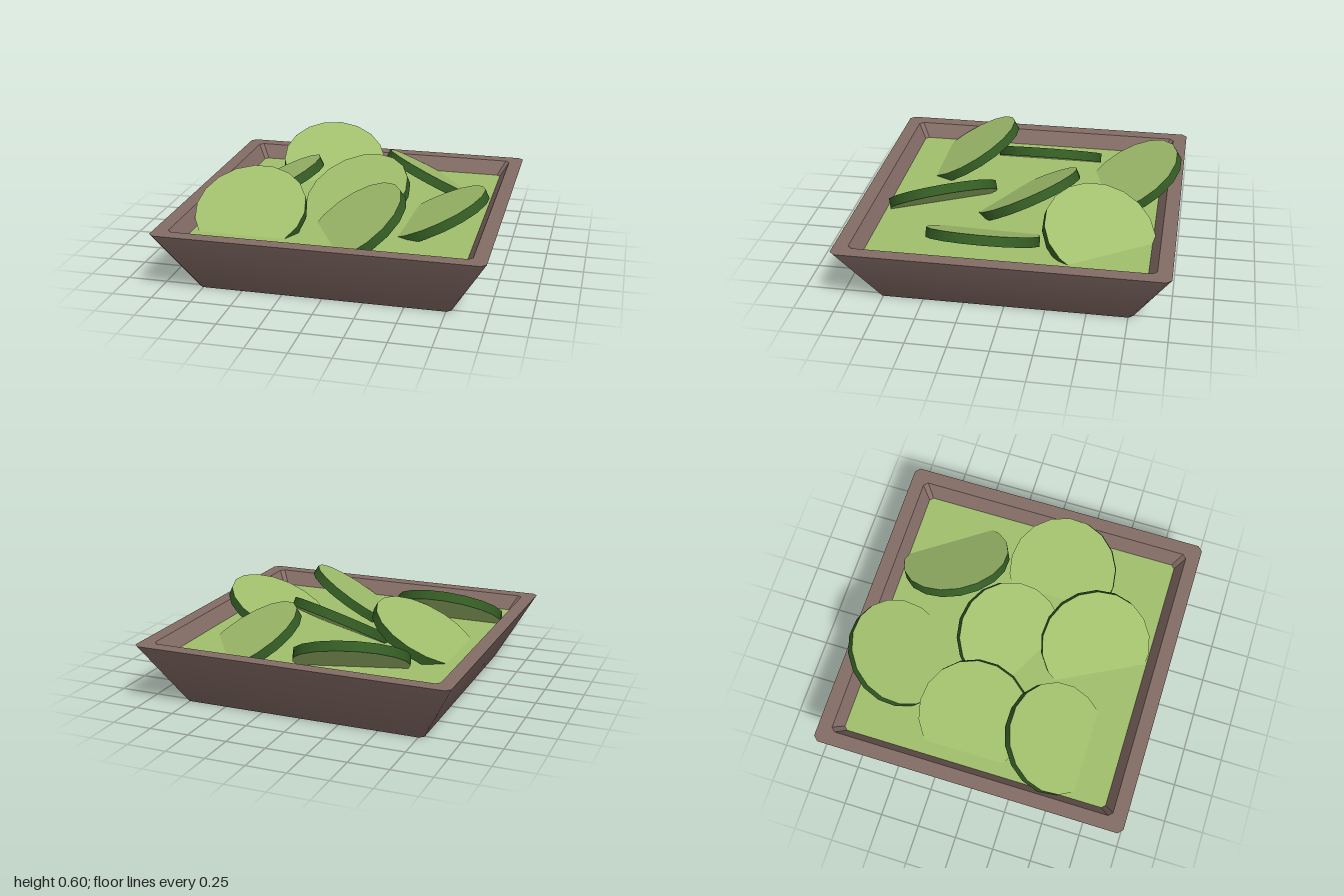
import * as THREE from 'three';

const TILE_SIDES = 18;
const RADIUS = 0.35;
const THICK = 0.06;

// Square outline with clipped corners: half size h, corner cut c, height y
function ring(h, c, y) {
  const k = h - c;
  return [[h, -k], [h, k], [k, h], [-k, h], [-h, k], [-h, -k], [-k, -h], [k, -h]].map(([x, z]) => [x, y, z]);
}

// Skin a chain of outlines; vertices are shared so normals can be smooth
function skin(rings, smooth) {
  const index = [];
  for (let r = 0; r < rings.length - 1; r++) {
    for (let i = 0; i < 8; i++) {
      const j = (i + 1) % 8;
      const a = r * 8 + i, b = r * 8 + j, c = a + 8, d = b + 8;
      index.push(a, c, d, a, d, b);
    }
  }
  let geo = new THREE.BufferGeometry();
  geo.setAttribute('position', new THREE.Float32BufferAttribute(rings.flat(2), 3));
  geo.setIndex(index);
  if (!smooth) geo = geo.toNonIndexed();
  geo.computeVertexNormals();
  return geo;
}

export function createModel() {
  const group = new THREE.Group();
  const mat = (name, color) => {
    const m = new THREE.MeshStandardMaterial({ color });
    m.name = name;
    return m;
  };
  const clay = mat('brown tray', 0x846c66);
  const flesh = mat('light green flesh', 0xa0be6c);
  const rind = mat('dark green rind', 0x345c24);

  const add = (name, geo, material) => {
    const mesh = new THREE.Mesh(geo, material);
    mesh.name = name;
    group.add(mesh);
    return mesh;
  };

  // Tray: flared outer shell, flat rim, sloping inner wall
  const base = ring(0.78, 0.025, 0);
  const top = ring(1, 0.03, 0.4);
  const lip = ring(0.912, 0.025, 0.4);
  const floor = ring(0.857, 0.022, 0.31);
  add('trayShell', skin([ring(0, 0, 0), base, top], true), clay);
  add('trayRim', skin([top, lip], false), clay);
  add('trayInnerWall', skin([lip, floor], false), clay);

  // Filling surface
  add('filling', skin([floor, ring(0, 0, 0.31)], false), flesh);

  // Round slices: centre of the upper face, direction of the raised edge, tilt in degrees
  const slices = [
    { at: [-0.56, 0.42, -0.09], up: [1, 0], tilt: 27.5 },
    { at: [-0.54, 0.422, 0.46], up: [0, -1], tilt: 31 },
    { at: [-0.285, 0.412, -0.655], up: [-0.28, -0.96], tilt: 31 },
    { at: [0.455, 0.396, -0.54], up: [-0.82, 0.57], tilt: 30 },
    { at: [0.02, 0.407, -0.02], up: [0.47, -0.88], tilt: 30 },
    { at: [0.122, 0.41, 0.515], up: [0.884, -0.467], tilt: 34 },
    { at: [0.563, 0.387, 0.16], up: [1, 0.04], tilt: 26 },
  ];
  // Rind on the side, flesh on both faces; upper face at the local origin
  const disc = new THREE.CylinderGeometry(RADIUS, RADIUS, THICK, TILE_SIDES).translate(0, -THICK / 2, 0);
  slices.forEach(({ at, up, tilt }, i) => {
    const slice = add('slice' + (i + 1), disc, [rind, flesh, flesh]);
    slice.position.set(...at);
    slice.rotation.order = 'YXZ';
    slice.rotation.y = Math.atan2(-up[1], up[0]);
    slice.rotation.z = THREE.MathUtils.degToRad(tilt);
  });

  return group;
}
